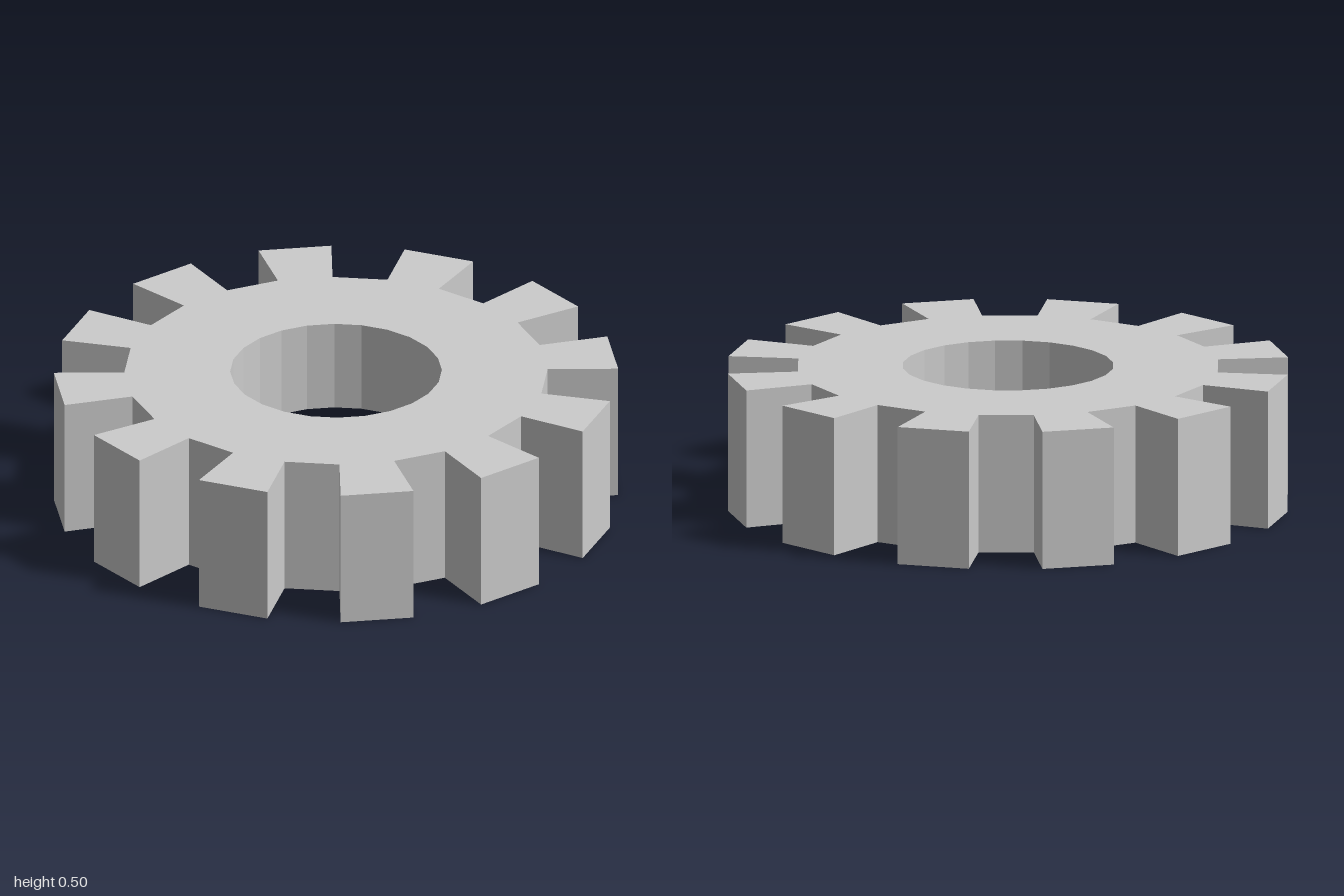
import * as THREE from 'three';

const TEETH = 12, OUTER = 1, ROOT = 0.75, BORE = 0.375, HEIGHT = 0.5, BORE_DEPTH = 0.33;

const polar = (r, a) => new THREE.Vector2(r * Math.cos(a), r * Math.sin(a));

// Square-toothed outline, counter-clockwise
function gearOutline() {
  const step = Math.PI / TEETH, points = [];
  for (let i = 0; i < TEETH; i++) {
    const a = 2 * i * step;
    points.push(polar(ROOT, a), polar(OUTER, a), polar(OUTER, a + step), polar(ROOT, a + step));
  }
  return points;
}

// Upright open wall following a closed outline, from y0 up to y1, facing outwards
function wallGeometry(points, y0, y1) {
  const pos = [];
  points.forEach((p, i) => {
    const q = points[(i + 1) % points.length];
    const a = [p.x, y0, -p.y], b = [q.x, y0, -q.y];
    const c = [q.x, y1, -q.y], d = [p.x, y1, -p.y];
    pos.push(...a, ...b, ...c, ...a, ...c, ...d);
  });
  const geometry = new THREE.BufferGeometry();
  geometry.setAttribute('position', new THREE.Float32BufferAttribute(pos, 3));
  geometry.computeVertexNormals();
  return geometry;
}

export function createModel() {
  const group = new THREE.Group();
  group.name = 'gear';
  const material = new THREE.MeshStandardMaterial({
    color: 0xcccccc, flatShading: true, side: THREE.DoubleSide,
  });
  const add = (name, geometry) => {
    const mesh = new THREE.Mesh(geometry, material);
    mesh.name = name;
    group.add(mesh);
  };

  const outline = gearOutline();
  const bore = Array.from({ length: 24 }, (_, i) => polar(BORE, (i * Math.PI) / 12));

  // Flat top with the round hole; the underside is open
  const shape = new THREE.Shape(outline);
  shape.holes.push(new THREE.Path(bore.slice().reverse()));
  add('topFace', new THREE.ShapeGeometry(shape).rotateX(-Math.PI / 2).translate(0, HEIGHT, 0));

  // Toothed rim down to the ground
  add('toothedRim', wallGeometry(outline, 0, HEIGHT));

  // Shorter sleeve hanging from the hole, facing the axis
  add('boreSleeve', wallGeometry(bore.slice().reverse(), HEIGHT - BORE_DEPTH, HEIGHT));

  return group;
}
